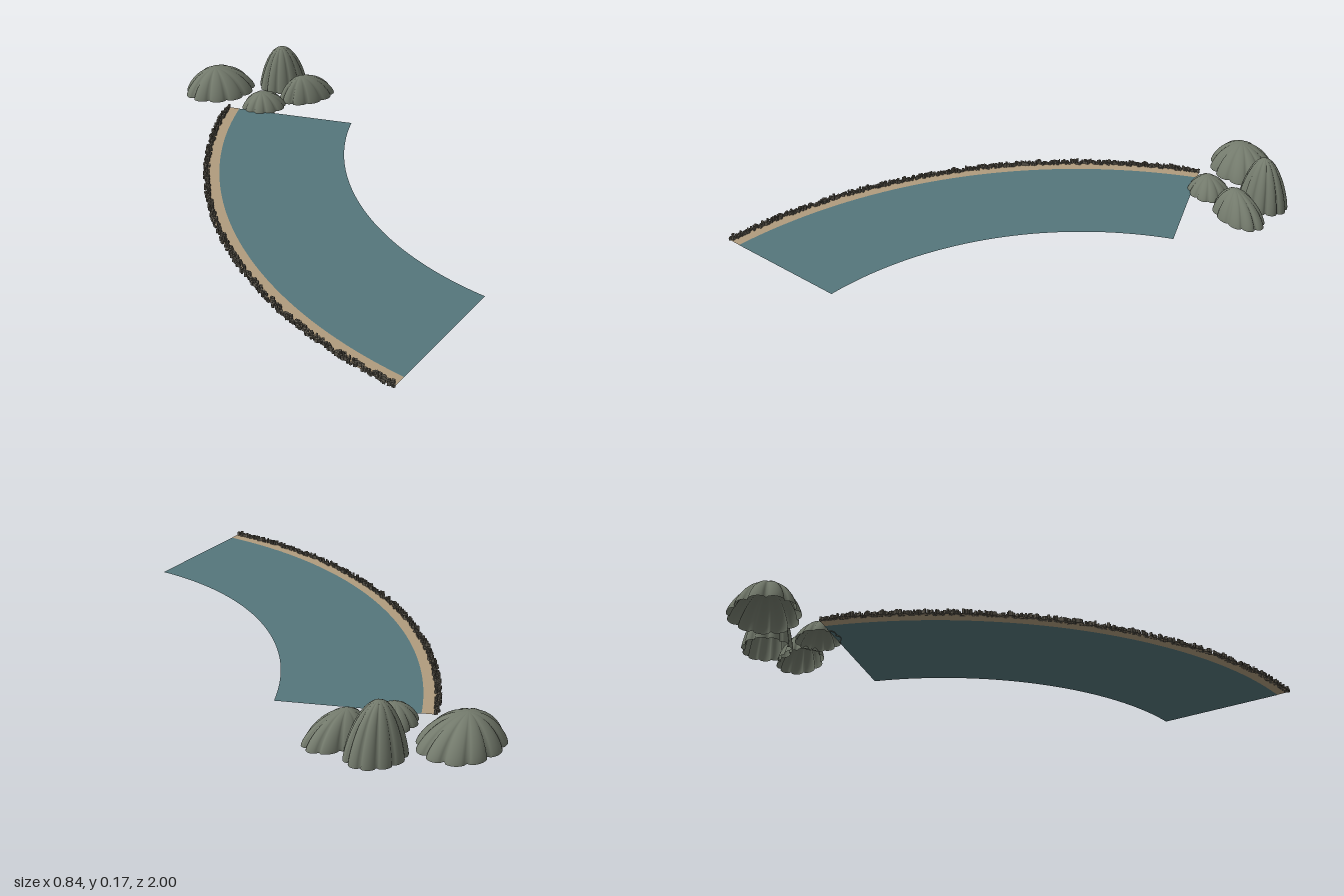
import * as THREE from 'three';
import { mergeGeometries } from 'three/addons/utils/BufferGeometryUtils.js';

const CX = 1.13, CZ = 0.3;                       // centre of the bay's arcs
const START = THREE.MathUtils.degToRad(138.7);
const SWEEP = THREE.MathUtils.degToRad(68.05);

function seeded(seed) {
  return () => {
    seed = (seed * 1664525 + 1013904223) % 4294967296;
    return seed / 4294967296;
  };
}

const material = (name, color, side = THREE.FrontSide) => {
  const m = new THREE.MeshStandardMaterial({ color, side });
  m.name = name;
  return m;
};

// Flat curved strip between two radii
function strip(name, inner, outer, y, mat) {
  const geo = new THREE.RingGeometry(inner, outer, 64, 1, START, SWEEP);
  geo.rotateX(-Math.PI / 2);
  const mesh = new THREE.Mesh(geo, mat);
  mesh.position.set(CX, y, CZ);
  mesh.name = name;
  return mesh;
}

// Open dome with grooves running from the summit to a scalloped foot
function hill({ name, x, z, rx, rz, h, lean, lobes, seed }, mat) {
  const rand = seeded(seed), segs = lobes * 8, rings = 14;
  const sizes = Array.from({ length: lobes }, () => 0.94 + rand() * 0.1);
  const pos = [], index = [];
  for (let i = 0; i <= rings; i++) {
    const t = Math.sin((i / rings) * Math.PI / 2);
    const y = h * Math.pow(Math.max(0, 1 - t * t), 0.75);
    for (let j = 0; j < segs; j++) {
      const a = (j / segs) * Math.PI * 2;
      const u = (j % 8) / 8, k = Math.floor(j / 8);
      const size = THREE.MathUtils.lerp(sizes[k], sizes[(k + 1) % lobes], u);
      const groove = 0.13 * (1 - Math.sqrt(Math.sin(u * Math.PI)));
      const r = t * (size - groove);
      pos.push(Math.cos(a) * r * rx + lean * (1 - t), y, Math.sin(a) * r * rz);
    }
  }
  for (let i = 0; i < rings; i++) {
    for (let j = 0; j < segs; j++) {
      const a = i * segs + j, b = i * segs + (j + 1) % segs;
      const c = a + segs, d = b + segs;
      if (i > 0) index.push(a, b, c);
      index.push(b, d, c);
    }
  }
  const geo = new THREE.BufferGeometry();
  geo.setAttribute('position', new THREE.Float32BufferAttribute(pos, 3));
  geo.setIndex(index);
  geo.computeVertexNormals();
  const mesh = new THREE.Mesh(geo, mat);
  mesh.position.set(x, 0, z);
  mesh.name = name;
  return mesh;
}

// Low line of small uneven blocks along the shore
function shoreBlocks(mat) {
  const rand = seeded(17), parts = [], count = 480;
  for (let i = 0; i < count; i++) {
    const a = START + SWEEP * (i + 0.5) / count;
    const r = 1.532 + rand() * 0.018;
    const h = 0.006 + rand() * 0.011;
    const geo = new THREE.BoxGeometry(0.005 + rand() * 0.005, h, 0.005 + rand() * 0.004);
    geo.rotateY(rand() * Math.PI);
    geo.translate(CX + Math.cos(a) * r, 0.004 + h / 2, CZ - Math.sin(a) * r);
    parts.push(geo);
  }
  const mesh = new THREE.Mesh(mergeGeometries(parts), mat);
  mesh.name = 'shoreBlocks';
  return mesh;
}

export function createModel() {
  const model = new THREE.Group();
  model.name = 'bay';
  const water = material('water teal', 0x55767c, THREE.DoubleSide);
  const sand = material('beach sand', 0xb09c7e, THREE.DoubleSide);
  const stone = material('hill stone', 0x737a6c, THREE.DoubleSide);
  const block = material('block grey', 0x5c574d);

  model.add(strip('water', 1.036, 1.5, 0.004, water));
  model.add(strip('beach', 1.495, 1.545, 0.005, sand));
  model.add(shoreBlocks(block));

  // Cluster of hills at the far end
  const hills = [
    { name: 'wideHill', x: 0.01, z: -0.887, rx: 0.147, rz: 0.116, h: 0.102, lean: -0.02, lobes: 11, seed: 3 },
    { name: 'tallHill', x: 0.261, z: -0.806, rx: 0.102, rz: 0.084, h: 0.175, lean: -0.013, lobes: 11, seed: 8 },
    { name: 'longHill', x: 0.302, z: -0.675, rx: 0.122, rz: 0.077, h: 0.093, lean: -0.03, lobes: 10, seed: 21 },
    { name: 'smallHill', x: 0.108, z: -0.673, rx: 0.089, rz: 0.077, h: 0.062, lean: -0.01, lobes: 10, seed: 40 },
  ];
  hills.forEach((spec) => model.add(hill(spec, stone)));
  return model;
}
